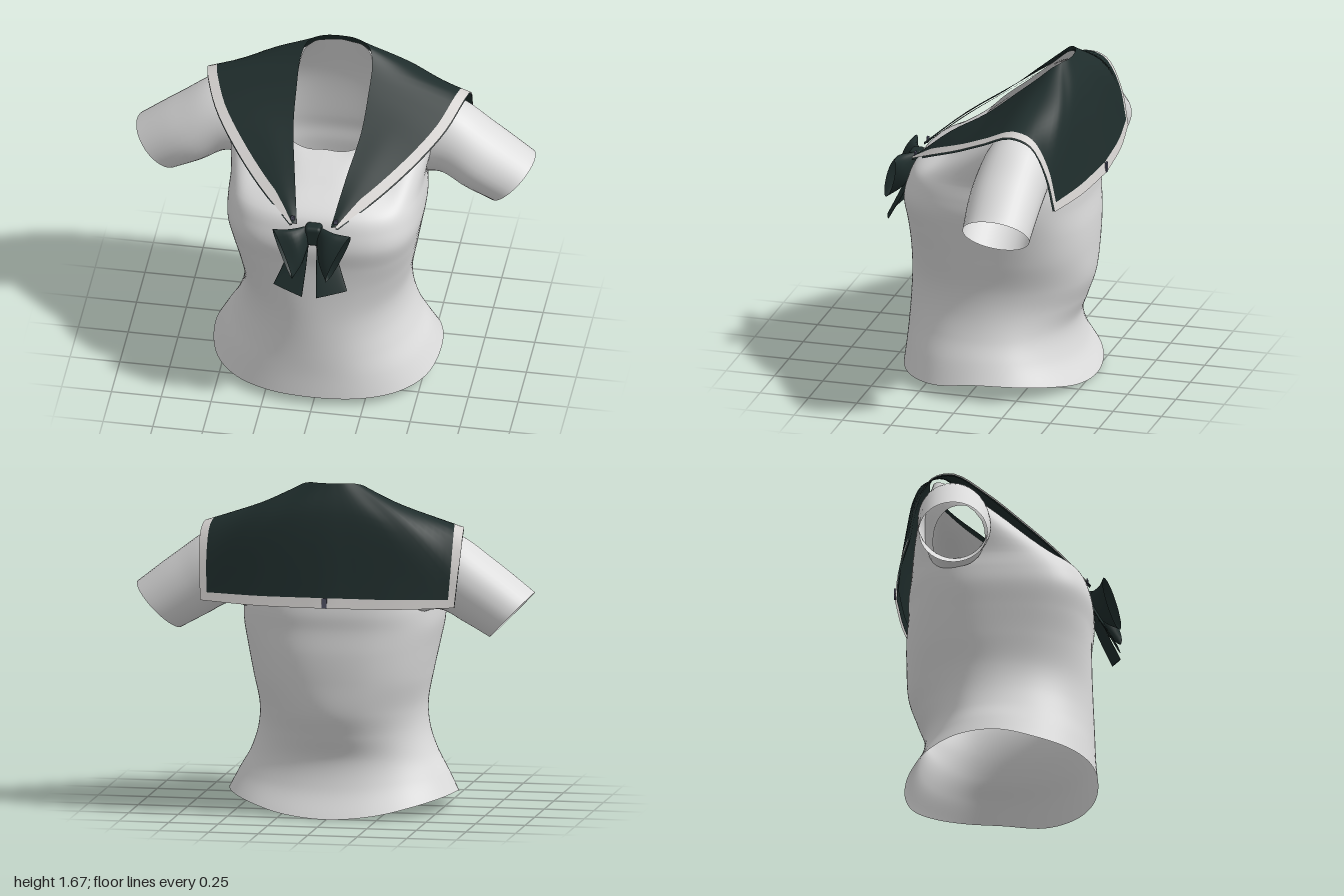
import * as THREE from 'three';
import { RoundedBoxGeometry } from 'three/addons/geometries/RoundedBoxGeometry.js';

const V = (a) => new THREE.Vector3(...a);
const curve = (points, closed = false) => new THREE.CatmullRomCurve3(points, closed);
const fabric = (name, color) => {
  const m = new THREE.MeshStandardMaterial({ color, side: THREE.DoubleSide });
  m.name = name;
  return m;
};

// Grid surface from a rule point(u, v); wrap joins the u ends, keep can drop cells.
function surface(point, nu, nv, wrap = false, keep = () => true) {
  const pts = [], index = [], cols = wrap ? nu : nu + 1;
  for (let j = 0; j <= nv; j++)
    for (let i = 0; i < cols; i++) pts.push(point(i / nu, j / nv));
  for (let j = 0; j < nv; j++)
    for (let i = 0; i < nu; i++) {
      const a = j * cols + i, b = j * cols + ((i + 1) % cols);
      const c = a + cols, d = b + cols;
      const mid = pts[a].clone().add(pts[b]).add(pts[c]).add(pts[d]).multiplyScalar(0.25);
      if (keep(mid)) index.push(a, b, d, a, d, c);
    }
  const g = new THREE.BufferGeometry().setFromPoints(pts);
  g.setIndex(index);
  g.computeVertexNormals();
  return g;
}

// Smooth skin over closed rings of equal point count.
function skin(rings, nu, nv, adjust = (p) => p, keep) {
  const loops = rings.map((r) => curve(r, true));
  const columns = [];
  for (let i = 0; i < nu; i++) columns.push(curve(loops.map((l) => l.getPoint(i / nu))));
  return surface((u, v) => adjust(columns[Math.round(u * nu) % nu].getPoint(v)), nu, nv, true, keep);
}

// Tube through elliptical rings: [top point, bottom point, half depth vector].
function tube(sections, side, nu, nv) {
  const rings = sections.map(([top, bottom, depth]) => {
    const t = V(top), b = V(bottom), d = V(depth);
    const centre = t.clone().add(b).multiplyScalar(0.5), half = t.sub(centre);
    return Array.from({ length: 12 }, (_, k) => {
      const a = (k / 12) * Math.PI * 2;
      const p = centre.clone().addScaledVector(half, Math.cos(a)).addScaledVector(d, Math.sin(a));
      p.x *= side;
      return p;
    });
  });
  return skin(rings, nu, nv);
}

// Body: [height, half width, front z, back z, front and back squareness]
const BODY = [
  [0.06, 0.57, 0.44, -0.52, 0.88, 0.95], [0.17, 0.52, 0.43, -0.445, 0.9, 0.95],
  [0.28, 0.465, 0.425, -0.42, 0.94, 0.96], [0.4, 0.425, 0.42, -0.46, 0.95, 1],
  [0.52, 0.415, 0.415, -0.5, 0.92, 0.96], [0.68, 0.44, 0.41, -0.51, 0.8, 0.83],
  [0.82, 0.465, 0.41, -0.51, 0.66, 0.79], [0.94, 0.485, 0.42, -0.5, 0.6, 0.76],
  [1.02, 0.485, 0.405, -0.5, 0.63, 0.74], [1.1, 0.48, 0.37, -0.49, 0.72, 0.72],
];
// Half rings from front centre to back centre
const SHOULDER = [
  [0, 1.2, 0.22], [0.14, 1.2, 0.21], [0.3, 1.2, 0.14], [0.42, 1.35, -0.07], [0.5, 1.43, -0.26],
  [0.46, 1.38, -0.39], [0.32, 1.36, -0.435], [0.15, 1.37, -0.455], [0, 1.38, -0.46],
];
const NECK = [
  [0, 1.3, 0.06], [0.1, 1.3, 0.06], [0.18, 1.33, 0.03], [0.185, 1.45, -0.12], [0.185, 1.55, -0.24],
  [0.165, 1.62, -0.32], [0.12, 1.645, -0.365], [0.06, 1.65, -0.38], [0, 1.655, -0.385],
];

// Armhole: elliptical opening in the side of the body, 1 at its edge
const HOLE = { y: 1.18, z: -0.24, ry: 0.155, rz: 0.13 };
const holeReach = (p) =>
  Math.abs(p.x) < 0.37 ? 2 : Math.hypot((p.y - HOLE.y) / HOLE.ry, (p.z - HOLE.z) / HOLE.rz);
const snapToHole = (p) => {
  const q = Math.max(holeReach(p), 0.01);
  if (q < 1) {
    p.y = HOLE.y + (p.y - HOLE.y) / q;
    p.z = HOLE.z + (p.z - HOLE.z) / q;
  }
  return p;
};

function torsoGeometry() {
  const mirrored = (half) => [
    ...half.map(V),
    ...half.slice(1, -1).reverse().map(([x, y, z]) => V([-x, y, z])),
  ];
  const rings = BODY.map(([y, w, front, back, squareFront, squareBack], row) => {
    const half = [];
    for (let k = 0; k <= 8; k++) {
      const a = (k / 8) * Math.PI, power = k < 4 ? squareFront : squareBack;
      const c = Math.sign(4 - k) * Math.abs(Math.cos(a)) ** power;
      // wavy hem: high at the sides, lowest at the back
      const wave = 0.028 - (c > 0 ? 0.06 * c * (1.7 - c) : 0.086 * Math.abs(c) ** 3);
      const hem = row === 0 ? wave : row === 1 ? wave * 0.5 : 0;
      const z = -0.05 + c * (c > 0 ? front + 0.05 : -0.05 - back);
      half.push([k === 8 ? 0 : w * Math.sin(a) ** power, y + hem, z]);
    }
    return mirrored(half);
  });
  rings.push(mirrored(SHOULDER), mirrored(NECK));
  return skin(rings, 112, 100, snapToHole, (p) => holeReach(p) > 0.998);
}

const SLEEVE = [
  [[0.36, 1.46, -0.26], [0.39, 1.0, -0.25], [0, 0, 0.155]],
  [[0.6, 1.42, -0.27], [0.53, 1.035, -0.26], [0, 0, 0.175]],
  [[0.8, 1.285, -0.26], [0.65, 0.975, -0.25], [0, 0, 0.18]],
  [[1.0, 1.13, -0.26], [0.78, 0.905, -0.26], [0, 0, 0.17]],
];

// Collar stations from the front tip over the shoulder to the back centre
const INNER = [
  [0.085, 1.08, 0.4], [0.13, 1.25, 0.2], [0.17, 1.38, 0], [0.18, 1.51, -0.16], [0.18, 1.6, -0.27],
  [0.16, 1.65, -0.33], [0.13, 1.665, -0.36], [0.1, 1.67, -0.375], [0.06, 1.67, -0.39], [0, 1.67, -0.395],
];
const MIDDLE = [
  [0.1, 1.085, 0.405], [0.21, 1.23, 0.215], [0.31, 1.36, 0], [0.38, 1.45, -0.14], [0.4, 1.53, -0.27],
  [0.41, 1.53, -0.35], [0.39, 1.5, -0.43], [0.33, 1.47, -0.463], [0.18, 1.51, -0.468], [0, 1.52, -0.47],
];
const OUTER = [
  [0.12, 1.08, 0.405], [0.3, 1.18, 0.25], [0.46, 1.28, 0.07], [0.58, 1.375, -0.1], [0.645, 1.45, -0.26],
  [0.66, 1.42, -0.37], [0.655, 1.27, -0.45], [0.64, 1.08, -0.49], [0.35, 1.07, -0.54], [0, 1.07, -0.57],
];

function collarGeometries() {
  const inner = curve(INNER.map(V)), middle = curve(MIDDLE.map(V));
  const outerSide = curve(OUTER.slice(0, 8).map(V)), outerBack = curve(OUTER.slice(7).map(V));
  const row = (u) => {
    const side = u < 0.5 ? -1 : 1, s = 1 - Math.abs(u * 2 - 1), k = s * 9;
    const out = k <= 7 ? outerSide.getPoint(k / 7) : outerBack.getPoint((k - 7) / 2);
    const pts = [inner.getPoint(s), middle.getPoint(s), out];
    pts.forEach((p) => { p.x *= side; });
    const edge = 1 - Math.min(0.3, 0.025 / pts[1].distanceTo(out));
    return { path: curve(pts), edge, s };
  };
  const band = (u, v) => {
    const r = row(u);
    return r.path.getPoint(r.edge + v * (1 - r.edge));
  };
  const panel = surface((u, v) => { const r = row(u); return r.path.getPoint(v * r.edge); }, 72, 14);
  const trim = surface(band, 72, 2);
  // underside of the trim, set below at the front and inward at the back
  const lining = surface((u, v) => {
    const back = THREE.MathUtils.smoothstep(row(u).s, 0.5, 0.75);
    return band(u, v).add(V([0, -0.01 * (1 - back), 0.01 * back]));
  }, 72, 2);
  return { panel, trim, lining };
}

// Bow loops and hanging tails
const depth = (d) => [-0.47 * d, 0.45 * d, 0.75 * d];
const LOOP = [
  [[0.02, 1.08, 0.4], [0.02, 1.0, 0.4], depth(0.015)],
  [[0.11, 1.085, 0.455], [0.05, 0.9, 0.49], depth(0.045)],
  [[0.195, 1.085, 0.47], [0.085, 0.85, 0.55], depth(0.028)],
];
const TAIL = [
  [[0.02, 1.0, 0.43], [0.09, 1.0, 0.395], [0, 0.002, 0.005]],
  [[0.025, 0.88, 0.485], [0.135, 0.89, 0.445], [0, 0.002, 0.005]],
  [[0.035, 0.745, 0.55], [0.185, 0.775, 0.505], [0, 0.002, 0.005]],
];

export function createModel() {
  const shirt = fabric('shirtWhite', 0xdcdcdc);
  const dark = fabric('collarDarkGreen', 0x1f2d2c);
  const stripe = fabric('trimGrey', 0xd6d3d1);
  const seam = fabric('seamSlate', 0x55566a);

  const model = new THREE.Group();
  model.name = 'sailorBlouse';
  const add = (name, geometry, material, parent = model) => {
    const mesh = new THREE.Mesh(geometry, material);
    mesh.name = name;
    parent.add(mesh);
    return mesh;
  };

  add('torso', torsoGeometry(), shirt);
  const { panel, trim, lining } = collarGeometries();
  add('collar', panel, dark);
  add('collarTrim', trim, stripe);
  add('collarTrimLining', lining, dark);
  add('backSeamTab', new THREE.BoxGeometry(0.024, 0.05, 0.009), seam).position.set(0, 1.095, -0.567);

  const bow = new THREE.Group();
  bow.name = 'bow';
  model.add(bow);
  add('bowKnot', new RoundedBoxGeometry(0.085, 0.11, 0.07, 3, 0.02), dark, bow).position.set(0, 1.035, 0.41);

  for (const [name, side] of [['left', 1], ['right', -1]]) {
    add(name + 'Sleeve', tube(SLEEVE, side, 36, 18), shirt);
    add(name + 'BowLoop', tube(LOOP, side, 24, 10), dark, bow);
    add(name + 'BowTail', tube(TAIL, side, 24, 8), dark, bow);
    add(name + 'TipSeam', new THREE.BoxGeometry(0.02, 0.03, 0.009), seam)
      .position.set(side * 0.108, 1.1, 0.388);
  }
  return model;
}
